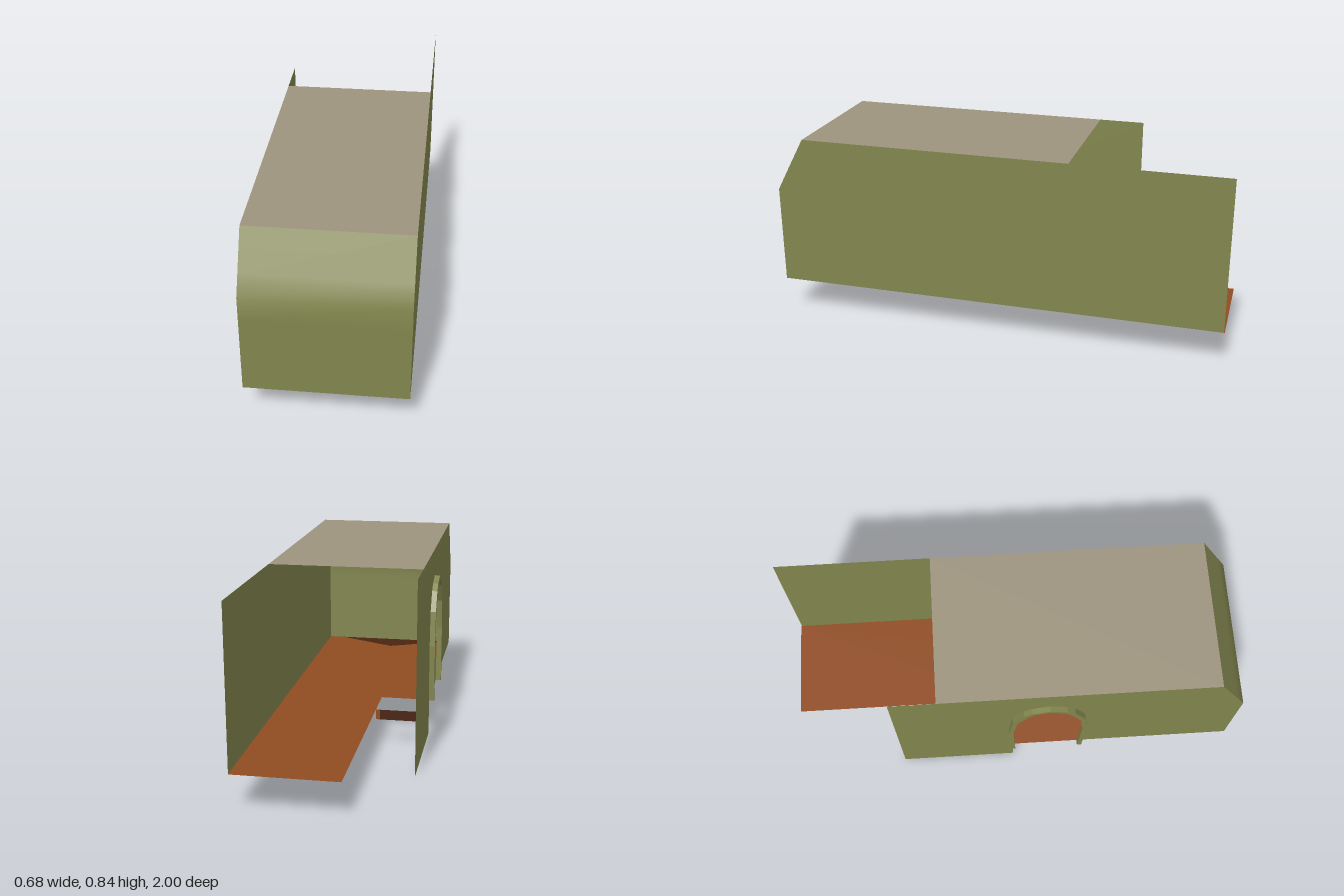
import * as THREE from 'three';

const LEFT = 0.34, RIGHT = -0.32, FLOOR = 0.163, TOP = 0.84;

function material(name, color) {
  const m = new THREE.MeshStandardMaterial({ color, side: THREE.DoubleSide });
  m.name = name;
  return m;
}

export function createModel() {
  const group = new THREE.Group();
  const green = material('olive green', 0x82864e);
  const grey = material('roof grey', 0x9d947e);
  const brown = material('floor brown', 0x904c22);
  const dark = material('dark brown', 0x4a2411);

  function add(name, geometry, mat) {
    const mesh = new THREE.Mesh(geometry, mat);
    mesh.name = name;
    group.add(mesh);
    return mesh;
  }
  const shape = (pts) => new THREE.Shape(pts.map(([a, b]) => new THREE.Vector2(a, b)));
  // Outline in (z, y), standing upright at a given x
  const upright = (pts, x) =>
    new THREE.ShapeGeometry(shape(pts)).rotateY(-Math.PI / 2).translate(x, 0, 0);
  // Outline in (x, z), lying flat and facing up
  const flat = (pts, y) =>
    new THREE.ShapeGeometry(shape(pts.map(([x, z]) => [x, -z]))).rotateX(-Math.PI / 2).translate(0, y, 0);

  // Doorway contour, narrowed by an inset
  const half = [[0.165, FLOOR], [0.174, 0.425], [0.158, 0.58], [0.11, 0.665], [0.075, 0.692], [0, 0.715]];
  function arch(inset) {
    const side = half.map(([w, y]) => [Math.max(0, w - inset * (w > 0.1 ? 1 : 0.5)), y > 0.5 ? y - inset * 0.8 : y]);
    const back = side.map(([w, y]) => [0.155 - w, y]);
    const front = side.slice(0, -1).reverse().map(([w, y]) => [0.155 + w, y]);
    return [...back, ...front];
  }

  // Long left wall
  add('leftWall', upright([[-0.995, FLOOR], [1, FLOOR], [1, 0.6], [0.87, TOP], [-0.995, TOP]], LEFT), green);

  // Right wall with doorway and lowered rear section
  add('rightWall', upright([
    [1, FLOOR], [1, 0.6], [0.87, TOP], [-0.52, TOP], [-0.52, 0], [0, 0], [0, FLOOR], ...arch(0.018),
  ], RIGHT), green);

  // Raised frame around the doorway
  const frame = new THREE.ExtrudeGeometry(shape([...arch(0), ...arch(0.02).reverse()]), { depth: 0.024, bevelEnabled: false });
  add('doorFrame', frame.rotateY(-Math.PI / 2).translate(RIGHT, 0, 0), green);

  // Front wall bending smoothly into the slope
  const profile = [[FLOOR, 1], [0.5, 1], [0.6, 1], [0.68, 0.957], [TOP, 0.87]];
  const pos = [], index = [];
  profile.forEach(([y, z], i) => {
    pos.push(RIGHT, y, z, LEFT, y, z);
    if (i) {
      const a = 2 * i - 2;
      index.push(a, a + 1, a + 3, a, a + 3, a + 2);
    }
  });
  const nose = new THREE.BufferGeometry();
  nose.setAttribute('position', new THREE.Float32BufferAttribute(pos, 3));
  nose.setIndex(index);
  nose.computeVertexNormals();
  add('frontWall', nose, green);

  // Roof, open behind
  add('roof', flat([[RIGHT, 0.87], [LEFT, 0.87], [LEFT, -0.32], [RIGHT, -0.32]], TOP), grey);

  // Floor, notched at the side, with a dark patch at the front
  const patch = [[0.27, 1], [-0.017, 0.86], [RIGHT, 1]];
  add('floor', flat([
    [LEFT, 1], ...patch, [RIGHT, 0], [-0.1, 0], [-0.1, -0.998], [LEFT, -0.998],
  ], FLOOR), brown);
  add('floorPatch', flat(patch, FLOOR), dark);

  // Hanging step panel in the side notch
  const stepX = (RIGHT - 0.1) / 2;
  for (const s of [-1, 1]) {
    add('stepEdge', new THREE.PlaneGeometry(0.018, 0.046).translate(stepX + s * 0.101, 0.139, -0.17), brown);
  }
  add('stepPanel', new THREE.PlaneGeometry(0.184, 0.046).translate(stepX, 0.139, -0.17), dark);

  return group;
}
